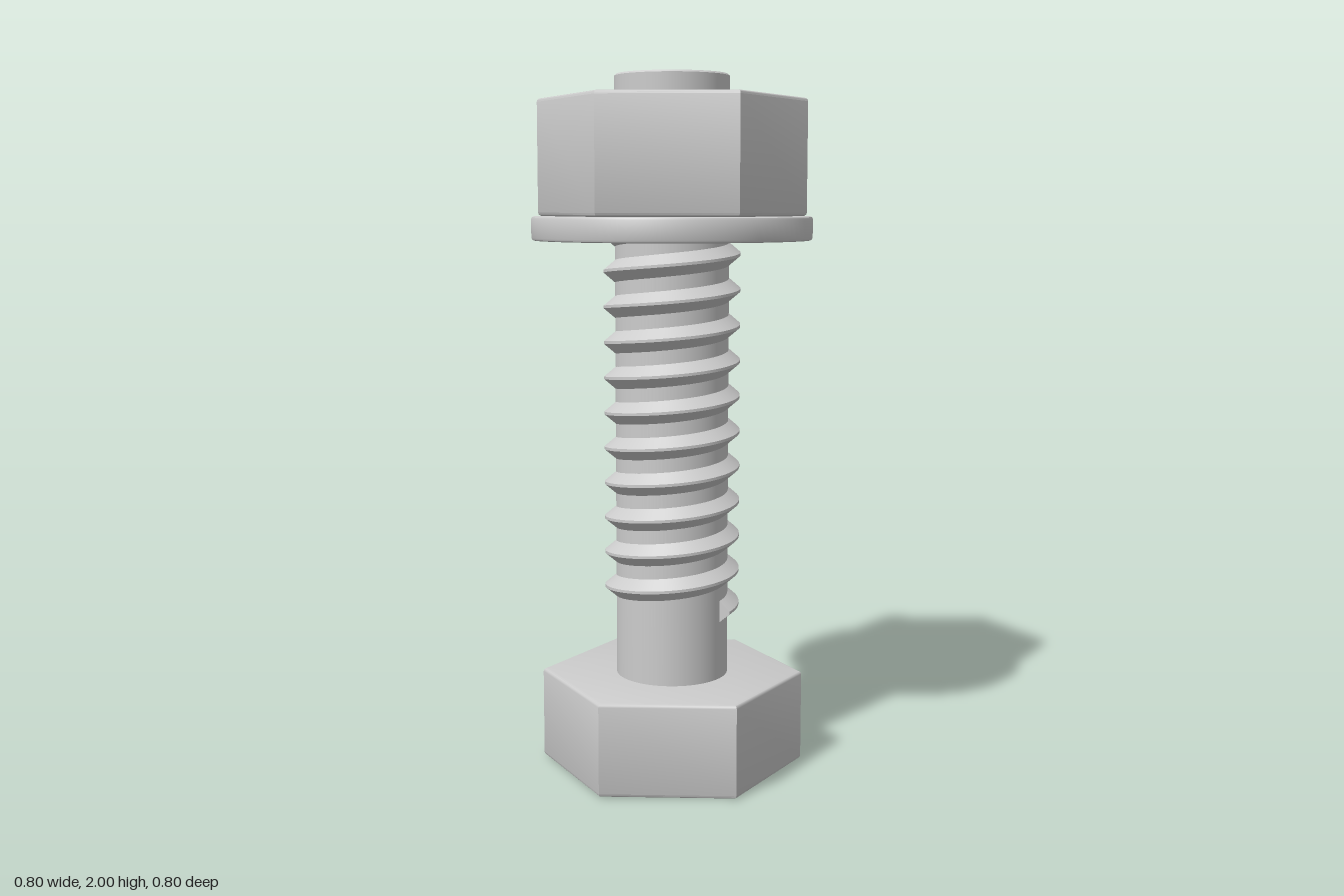
import * as THREE from 'three';
import { toCreasedNormals } from 'three/addons/utils/BufferGeometryUtils.js';

const material = new THREE.MeshStandardMaterial({ color: 0xcccccc });
const SHANK_R = 0.163, THREAD_R = 0.196, HOLE_R = 0.213, HEX_R = 0.383;

function part(name, geometry, crease = 0.6) {
  const mesh = new THREE.Mesh(toCreasedNormals(geometry, crease), material);
  mesh.name = name;
  return mesh;
}

// Hexagonal prism with softened rims, corners on the z axis
function hexPrism(y0, y1, holeRadius) {
  const corners = [];
  for (let i = 0; i < 6; i++) {
    const a = Math.PI / 2 + i * Math.PI / 3;
    corners.push(new THREE.Vector2(HEX_R * Math.cos(a), HEX_R * Math.sin(a)));
  }
  const shape = new THREE.Shape(corners);
  if (holeRadius) {
    shape.holes.push(new THREE.Path().absarc(0, 0, holeRadius, 0, Math.PI * 2, true));
  }
  const b = 0.01;
  const geometry = new THREE.ExtrudeGeometry(shape, {
    depth: y1 - y0 - 2 * b, curveSegments: 64,
    bevelThickness: b, bevelSize: b, bevelOffset: -b, bevelSegments: 3,
  });
  return geometry.rotateX(-Math.PI / 2).translate(0, y0 + b, 0);
}

function lathe(points) {
  return new THREE.LatheGeometry(points.map(([r, y]) => new THREE.Vector2(r, y)), 96);
}

// Right-handed helical ridge: a small tooth profile swept around the shank
function threadGeometry(yStart, pitch, turns) {
  const profile = [
    [SHANK_R - 0.005, -0.036], [THREAD_R, -0.004],
    [THREAD_R, 0.004], [SHANK_R - 0.005, 0.036],
  ];
  const perTurn = 72, steps = perTurn * turns;
  const positions = [], index = [];
  for (let i = 0; i <= steps; i++) {
    const a = i / perTurn * Math.PI * 2;
    const y = yStart + i / perTurn * pitch;
    for (const [r, dy] of profile) {
      positions.push(r * Math.cos(a), y + dy, -r * Math.sin(a));
    }
  }
  for (let i = 0; i < steps; i++) {
    for (let j = 0; j < 3; j++) {
      const a = i * 4 + j, b = a + 4;
      index.push(a, b, a + 1, b, b + 1, a + 1);
    }
  }
  const e = steps * 4;
  index.push(0, 1, 2, 0, 2, 3, e, e + 2, e + 1, e, e + 3, e + 2);
  const geometry = new THREE.BufferGeometry();
  geometry.setAttribute('position', new THREE.Float32BufferAttribute(positions, 3));
  geometry.setIndex(index);
  return geometry;
}

export function createModel() {
  const model = new THREE.Group();
  model.name = 'boltWithNutAndWasher';

  // Bolt: head, plain shank and thread
  const bolt = new THREE.Group();
  bolt.name = 'bolt';
  bolt.add(part('boltHead', hexPrism(0, 0.27)));
  bolt.add(part('shank', lathe([
    [SHANK_R, 0.25], [SHANK_R, 1.995], [SHANK_R - 0.005, 2], [0, 2],
  ])));
  bolt.add(part('thread', threadGeometry(0.47, 0.102, 13), 0.4));
  model.add(bolt);

  // Flat washer with softened outer rim
  const b = 0.008, R = 0.4, y0 = 1.537, y1 = 1.605;
  model.add(part('washer', lathe([
    [HOLE_R, y1], [HOLE_R, y0], [R - b, y0], [R - b * 0.3, y0 + b * 0.3], [R, y0 + b],
    [R, y1 - b], [R - b * 0.3, y1 - b * 0.3], [R - b, y1], [HOLE_R, y1],
  ])));

  // Nut resting on the washer
  model.add(part('nut', hexPrism(1.605, 1.935, HOLE_R - 0.01)));
  return model;
}
